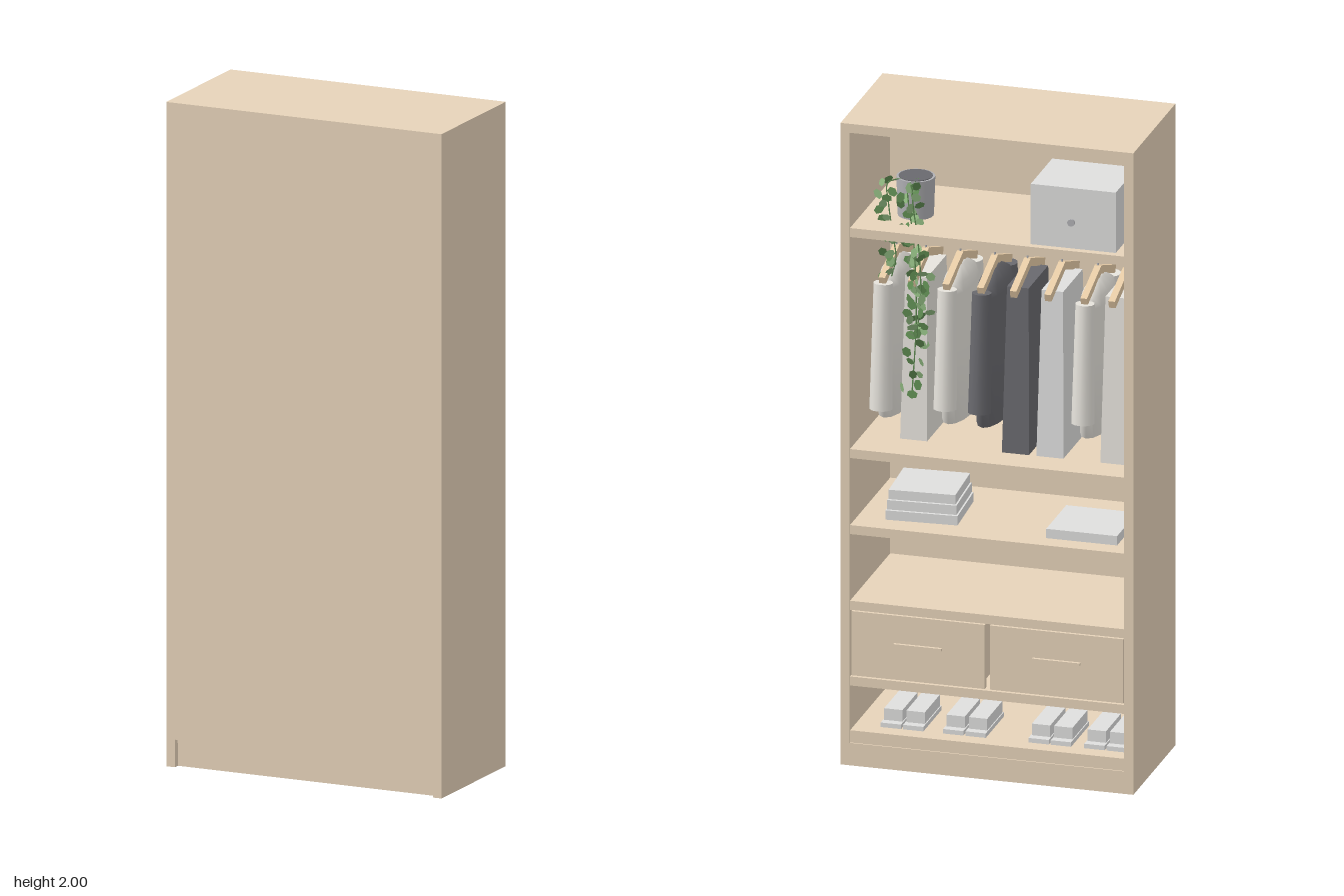
import * as THREE from 'three';

const mat = (name, color, extra = {}) => {
  const m = new THREE.MeshStandardMaterial({ color, ...extra });
  m.name = name;
  return m;
};

export function createModel() {
  const model = new THREE.Group();
  model.name = 'wardrobe';
  const wood = mat('beige wood', 0xe6d3b9);
  const lightCloth = mat('off-white cloth', 0xe6e3dc);
  const greyCloth = mat('light grey', 0xdededd);
  const darkCloth = mat('charcoal cloth', 0x69696e);
  const potGrey = mat('pot grey', 0xb0b0b4);
  const hangerWood = mat('hanger wood', 0xe8cda8);
  const leafDark = mat('leaf green', 0x5f8c52, { side: THREE.DoubleSide });
  const leafLight = mat('pale leaf green', 0x8fb880, { side: THREE.DoubleSide });

  const add = (name, geo, material, x = 0, y = 0, z = 0, parent = model) => {
    const m = new THREE.Mesh(geo, material);
    m.name = name;
    m.position.set(x, y, z);
    parent.add(m);
    return m;
  };
  // Box given by its lower and upper limits on each axis
  const box = (name, material, x0, x1, y0, y1, z0, z1, parent = model) =>
    add(name, new THREE.BoxGeometry(x1 - x0, y1 - y0, z1 - z0), material,
      (x0 + x1) / 2, (y0 + y1) / 2, (z0 + z1) / 2, parent);
  const group = (name, x = 0, y = 0, z = 0, parent = model) => {
    const g = new THREE.Group();
    g.name = name;
    g.position.set(x, y, z);
    parent.add(g);
    return g;
  };
  let seed = 7;
  const rnd = () => (seed = (seed * 16807) % 2147483647) / 2147483647;

  // Carcass, open towards -z
  const W = 0.446, I = 0.418, ZB = -0.215, ZF = 0.217;
  box('rightSide', wood, -W, -I, 0, 2, ZB, ZF);
  box('leftSide', wood, I, W, 0, 2, ZB, ZF);
  box('topBoard', wood, -I, I, 1.972, 2, ZB, ZF);
  box('frontPanel', wood, -I, I, 0.083, 1.972, 0.2, ZF);
  box('plinth', wood, -I, I, 0, 0.07, ZB, 0.197);
  box('bottomBoard', wood, -I, I, 0.07, 0.108, ZB + 0.004, 0.2);
  for (const top of [1.674, 0.985, 0.748, 0.512, 0.276])
    box('shelf', wood, -I, I, top - 0.028, top, ZB + 0.003, 0.2);

  // Two drawers with bar handles
  for (const s of [-1, 1]) {
    const d = group('drawer', s * 0.211, 0.38, 0);
    box('drawerFront', wood, -0.203, 0.203, -0.1, 0.1, -0.211, -0.193, d);
    box('drawerBody', wood, -0.19, 0.19, -0.09, 0.09, -0.193, 0.18, d);
    box('drawerHandle', wood, -0.073, 0.073, 0.006, 0.014, -0.22, -0.211, d);
  }

  // Clothes rail
  const rail = add('clothesRail', new THREE.CylinderGeometry(0.011, 0.011, 2 * I, 12), potGrey, 0, 1.585, 0);
  rail.rotation.z = Math.PI / 2;

  // Hanger with sloping arms along z
  const hanger = (g) => {
    for (const s of [-1, 1]) {
      const arm = add('hangerArm', new THREE.BoxGeometry(0.02, 0.024, 0.16), hangerWood, 0, 1.52, s * 0.07, g);
      arm.rotation.x = s * 0.33;
    }
    const hook = add('hangerHook', new THREE.TorusGeometry(0.018, 0.003, 6, 14, Math.PI * 1.3), potGrey, 0, 1.585, 0, g);
    hook.rotation.y = Math.PI / 2;
    add('hangerStem', new THREE.CylinderGeometry(0.003, 0.003, 0.04, 6), potGrey, 0, 1.55, 0, g);
  };

  // Sleeved shirts
  const shirtProfile = [[0, 1.06], [0.125, 1.06], [0.118, 1.28], [0.128, 1.46], [0.112, 1.49], [0.045, 1.525], [0, 1.525]]
    .map(([r, y]) => new THREE.Vector2(r, y));
  const shirt = (x, material, cuff) => {
    const g = group('shirt', x);
    add('shirtBody', new THREE.LatheGeometry(shirtProfile, 14), material, 0, 0, 0, g).scale.x = 0.33;
    const len = 1.485 - cuff;
    for (const s of [-1, 1]) {
      const sleeve = add('sleeve', new THREE.CylinderGeometry(0.029, 0.035, len, 12), material,
        0, cuff + len / 2, s * 0.145, g);
      sleeve.rotation.x = -s * 0.06;
    }
    hanger(g);
  };
  [[0.34, lightCloth, 1.1], [0.145, lightCloth, 1.12], [0.04, darkCloth, 1.12], [-0.275, lightCloth, 1.12]]
    .forEach((a) => shirt(...a));

  // Long sleeveless coats, square in section and wider at the hem
  const coat = (x, material, hem) => {
    const g = group('coat', x);
    const h = 1.5 - hem;
    const geo = new THREE.CylinderGeometry(0.1 * Math.SQRT2, 0.125 * Math.SQRT2, h, 4, 1, false, Math.PI / 4).toNonIndexed();
    geo.computeVertexNormals();
    add('coatBody', geo, material, 0, hem + h / 2, 0, g).scale.x = 0.33;
    hanger(g);
  };
  [[0.25, lightCloth, 1.0], [-0.06, darkCloth, 0.99], [-0.165, greyCloth, 0.99], [-0.36, lightCloth, 0.99]]
    .forEach((a) => coat(...a));

  // Storage box with a round pull
  box('storageBox', greyCloth, -0.385, -0.126, 1.674, 1.862, -0.19, 0.03);
  const pull = add('boxPull', new THREE.CylinderGeometry(0.011, 0.011, 0.008, 14), potGrey, -0.25, 1.755, -0.193);
  pull.rotation.x = Math.PI / 2;

  // Plant pot with soil
  add('plantPot', new THREE.CylinderGeometry(0.057, 0.053, 0.12, 24), potGrey, 0.267, 1.734, -0.045);
  add('soil', new THREE.CylinderGeometry(0.05, 0.05, 0.004, 24), darkCloth, 0.267, 1.794, -0.045);

  // Trailing vines hanging from the pot
  const leafGeo = new THREE.CircleGeometry(0.017, 6);
  leafGeo.scale(0.75, 1, 1);
  const vines = group('trailingPlant');
  [[0.25, 1.14, -0.125], [0.235, 1.32, -0.13], [0.315, 1.5, -0.115]].forEach(([x, end, z]) => {
    const curve = new THREE.CatmullRomCurve3([
      [x * 0.5 + 0.1335, 1.795, -0.07], [x + 0.02, 1.785, z + 0.01], [x + 0.015, 1.73, z],
      [x, 1.62, z], [x - 0.008, (1.62 + end) / 2, z], [x + 0.005, end, z],
    ].map((p) => new THREE.Vector3(...p)));
    add('vineStem', new THREE.TubeGeometry(curve, 40, 0.002, 5), leafDark, 0, 0, 0, vines);
    const n = Math.round(curve.getLength() / 0.015);
    for (let i = 3; i <= n; i++) {
      const p = curve.getPointAt(i / n);
      const leaf = add('leaf', leafGeo, i % 2 ? leafDark : leafLight,
        p.x + (rnd() - 0.5) * 0.06, p.y + (rnd() - 0.5) * 0.015, p.z + (rnd() - 0.6) * 0.05, vines);
      leaf.rotation.set(rnd() * 1.2 - 0.6, rnd() * 1.6 - 0.8, rnd() * 6.28);
    }
  });

  // Folded clothes
  const stack = (x, z, layers, turn) => {
    const g = group('foldedStack', x, 0.748, z);
    g.rotation.y = turn;
    for (let i = 0; i < layers; i++) {
      const w = 0.108 - i * 0.004;
      box('foldedCloth', greyCloth, -w, w, i * 0.031, i * 0.031 + 0.029, -w + 0.005, w - 0.005, g);
    }
  };
  stack(0.23, -0.03, 3, 0.06);
  stack(-0.27, -0.05, 1, 0);

  // Pairs of shoes: flat sole with a raised upper
  for (const px of [0.275, 0.085, -0.175, -0.345])
    for (const s of [-1, 1]) {
      const shoe = group('shoe', px + s * 0.034, 0.108, -0.06);
      box('sole', greyCloth, -0.031, 0.031, 0, 0.014, -0.1, 0.085, shoe);
      box('upper', greyCloth, -0.028, 0.028, 0.014, 0.05, -0.075, 0.08, shoe);
    }

  return model;
}
